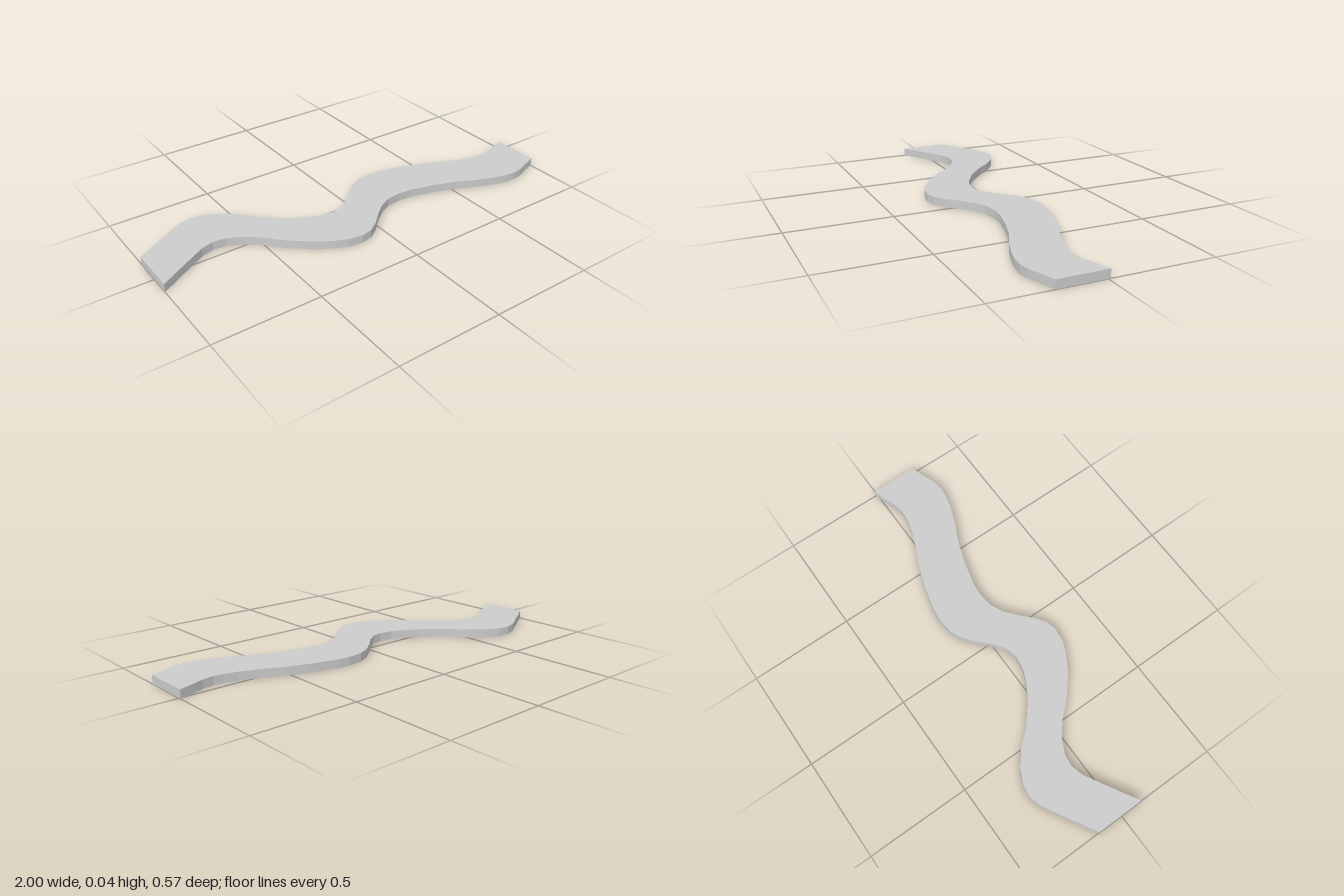
import * as THREE from 'three';

const WIDTH = 0.235;
const HEIGHT = 0.04;

// Back edge of the ribbon as [x, z]; the front edge is the same line shifted by WIDTH in z
const backEdge = [
  [-1, -0.13], [-0.89, -0.195], [-0.76, -0.27], [-0.7, -0.287], [-0.64, -0.28],
  [-0.57, -0.245], [-0.5, -0.187], [-0.45, -0.128], [-0.395, -0.078], [-0.33, -0.025],
  [-0.26, 0.017], [-0.2, 0.043], [-0.134, 0.052], [-0.08, 0.041], [-0.027, 0.005],
  [0.03, -0.05], [0.09, -0.099], [0.15, -0.128], [0.225, -0.136], [0.29, -0.13],
  [0.41, -0.099], [0.52, -0.06], [0.61, -0.017], [0.705, 0.02], [0.77, 0.036],
  [0.818, 0.042], [0.87, 0.034], [0.936, 0.01], [1, -0.011],
];

export function createModel() {
  const group = new THREE.Group();
  group.name = 'wavyPath';

  // Outline drawn with y = -z, so laying it flat restores z
  const front = backEdge.map(([x, z]) => new THREE.Vector2(x, -(z + WIDTH)));
  const back = backEdge.map(([x, z]) => new THREE.Vector2(x, -z)).reverse();
  const outline = new THREE.Shape([...front, ...back]);

  // Flat slab with faceted vertical sides
  const geometry = new THREE.ExtrudeGeometry(outline, { depth: HEIGHT, bevelEnabled: false });
  geometry.rotateX(-Math.PI / 2);

  const material = new THREE.MeshStandardMaterial({ color: 0xcccccc, flatShading: true });
  const slab = new THREE.Mesh(geometry, material);
  slab.name = 'pathSlab';
  group.add(slab);
  return group;
}
